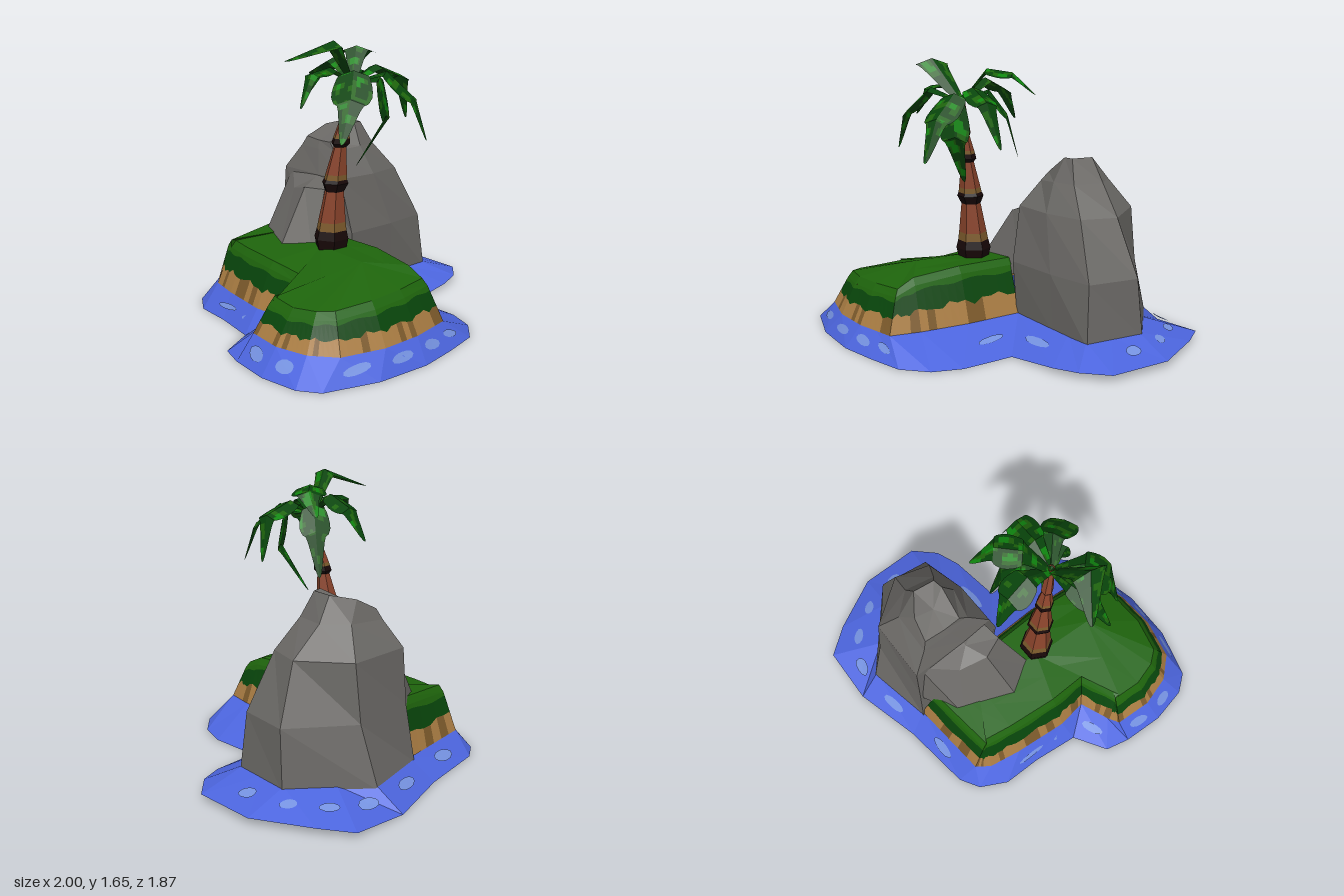
import * as THREE from 'three';

const mat = (name, color) => {
  const m = new THREE.MeshStandardMaterial({ color, flatShading: true, side: THREE.DoubleSide });
  m.name = name;
  return m;
};
const M = {
  water: mat('water blue', 0x4c65de), foam: mat('foam blue', 0x7592e0),
  sand: mat('sand', 0xaa7d43), sandDark: mat('dark sand', 0x7c5a2b),
  grass: mat('grass green', 0x1e640c), grassDark: mat('dark green', 0x08450b),
  leaf: mat('bright leaf', 0x0f870f), rock: mat('rock grey', 0x6a6865),
  bark: mat('bark brown', 0x89432b), barkDark: mat('dark bark', 0x180808),
};
const V = (x, y, z) => new THREE.Vector3(x, y, z);
const mix = (a, b, t) => a.clone().lerp(b, t);

// Collects triangles by colour and turns each colour into one mesh
class Builder {
  constructor() { this.tris = {}; }
  tri(key, ...pts) {
    const [a, b, c] = pts;
    if (b.clone().sub(a).cross(c.clone().sub(a)).length() < 1e-9) return;
    (this.tris[key] ??= []).push(...pts.flatMap(p => p.toArray()));
  }
  quad(key, a, b, c, d) { this.tri(key, a, b, c); this.tri(key, a, c, d); }
  // Closed band between two rings, clockwise seen from above
  band(key, low, high) {
    low.forEach((p, i) => {
      const j = (i + 1) % low.length;
      this.quad(key, p, high[i], high[j], low[j]);
    });
  }
  cap(key, ring) {
    const c = V(0, 0, 0);
    ring.forEach(p => c.addScaledVector(p, 1 / ring.length));
    ring.forEach((p, i) => this.tri(key, p, c, ring[(i + 1) % ring.length]));
  }
  group(name) {
    const g = new THREE.Group();
    g.name = name;
    for (const key in this.tris) {
      const geo = new THREE.BufferGeometry();
      geo.setAttribute('position', new THREE.Float32BufferAttribute(this.tris[key], 3));
      geo.computeVertexNormals();
      const mesh = new THREE.Mesh(geo, M[key]);
      mesh.name = `${name} ${M[key].name}`;
      g.add(mesh);
    }
    return g;
  }
}

// Sloping water skirt: outer x, z, y and inner x, z
function water() {
  const rows = [
    [-.48, -.78, 0, -.5, -.66], [-.05, -.83, 0, 0, -.69], [.37, -.935, 0, .4, -.77],
    [.72, -.92, .03, .55, -.63], [.84, -.75, .04, .66, -.52], [1, -.42, .04, .75, -.43],
    [.99, -.04, .04, .73, -.25], [.86, .09, .04, .71, -.08], [.71, .15, .03, .55, -.08],
    [.39, .2, 0, .09, -.05], [.39, .52, 0, .09, .3], [.33, .69, 0, .06, .6],
    [.2, .82, 0, .02, .78], [-.02, .88, 0, -.1, .805], [-.26, .93, 0, -.24, .84],
    [-.58, .92, 0, -.48, .85], [-.88, .83, 0, -.73, .79], [-.96, .72, 0, -.84, .66],
    [-1, .49, 0, -.89, .47], [-.98, .24, 0, -.87, .24], [-.94, .09, 0, -.8, .2],
    [-.74, -.03, 0, -.62, .13], [-.7, -.31, 0, -.64, -.05], [-.69, -.55, 0, -.6, -.38],
    [-.6, -.71, 0, -.56, -.58],
  ];
  const outer = rows.map(r => V(r[0], r[2], r[1]));
  const inner = rows.map(r => V(r[3], .13, r[4]));
  const b = new Builder(), n = rows.length;
  b.band('water', outer, inner);
  // Foam flecks laid on the slope
  for (let i = 0; i < n; i++) {
    const j = (i + 1) % n, ring = [];
    if (outer[i].distanceTo(outer[j]) < .2) continue;
    const du = Math.min(.3, .075 / outer[i].distanceTo(outer[j]));
    const dv = Math.min(.2, .035 / outer[i].distanceTo(inner[i]));
    for (let k = 0; k < 12; k++) {
      const a = k * Math.PI / 6, r = 1 + .15 * Math.sin(k * 1.05 + i);
      const u = .5 + du * r * Math.cos(a), v = .48 + dv * r * Math.sin(a);
      const p = mix(mix(outer[i], outer[j], u), mix(inner[i], inner[j], u), v);
      ring.push(p.add(V(0, .008, 0)));
    }
    b.cap('foam', ring.reverse());
  }
  return b.group('water');
}

// Island: base x, z, height of the rim, index of the inner ridge point
function island() {
  const rows = [
    [-.5, -.66, .4, 2], [0, -.7, .45, 2], [.04, -.35, .45, 2], [.09, -.06, .45, 1],
    [.09, .3, .45, 1], [.06, .6, .42, 0], [.02, .78, .37, 0], [-.24, .84, .36, 0],
    [-.48, .85, .35, 0], [-.73, .79, .33, 0], [-.84, .66, .32, 0], [-.89, .47, .31, 0],
    [-.87, .24, .32, 0], [-.8, .2, .33, 0], [-.62, .13, .37, 1], [-.64, -.05, .39, 1],
    [-.6, -.38, .39, 2], [-.56, -.58, .39, 2],
  ];
  const ridge = [V(-.28, .45, .44), V(-.25, .45, .05), V(-.15, .45, -.35)];
  const n = rows.length, b = new Builder();
  const ring = (inset, yOf) => rows.map((r, i) => {
    const p = rows[(i + n - 1) % n], q = rows[(i + 1) % n];
    const e = V(q[0] - p[0], 0, q[1] - p[1]).normalize();
    return V(r[0] - e.z * inset, yOf(r[2]), r[1] + e.x * inset);
  });
  const base = ring(0, () => .13), rim = ring(.09, h => h - .04), top = ring(.12, h => h);
  const mid = rows.map((r, i) => mix(top[i], ridge[r[3]], .5));
  b.band('grass', rim, top);
  b.band('grass', top, mid);
  b.band('grass', mid, rows.map(r => ridge[r[3]]));
  // Sandy bank, ragged dark turf and a lighter lip, open beneath the rock
  const steps = 6;
  const wave = k => .45 + .05 * Math.sin(k * 1.3) + .04 * Math.sin(k * 2.9 + 1);
  const lip = k => .88 + .03 * Math.sin(k * 1.1 + 2);
  for (let k = 0; k < n * steps; k++) {
    if (k >= steps && k < 3 * steps) continue;
    const column = m => {
      const w = m % (n * steps), i = Math.floor(w / steps), j = (i + 1) % n, t = (w % steps) / steps;
      const lo = mix(base[i], base[j], t), hi = mix(rim[i], rim[j], t);
      return [lo, mix(lo, hi, wave(w)), mix(lo, hi, lip(w)), hi];
    };
    const p = column(k), q = column(k + 1);
    const tone = Math.sin(k * .9) + Math.sin(k * 2.3) > .55 ? 'sandDark' : 'sand';
    [tone, 'grassDark', 'grass'].forEach((key, m) => b.quad(key, p[m], p[m + 1], q[m + 1], q[m]));
  }
  return b.group('island');
}

// Faceted boulders from stacked rings of x, z (and y)
function boulder(name, rings) {
  const b = new Builder();
  const pts = rings.map(([y, ...r]) => r.map(p => V(p[0], p[2] ?? y, p[1])));
  for (let i = 0; i + 1 < pts.length; i++) b.band('rock', pts[i], pts[i + 1]);
  b.cap('rock', pts.at(-1));
  return b.group(name);
}

// Tapered trunk segments: height, radius, colour above
function trunk() {
  const rows = [
    [.43, .09, 'barkDark'], [.5, .105, 'barkDark'], [.55, .092, 'sandDark'], [.6, .084, 'bark'],
    [.78, .058, 'barkDark'], [.83, .08, 'barkDark'], [.85, .07, 'sandDark'], [.88, .065, 'bark'],
    [1.04, .038, 'barkDark'], [1.06, .055, 'barkDark'], [1.09, .05, 'sandDark'], [1.11, .046, 'bark'],
    [1.2, .028, 'barkDark'], [1.22, .036, 'bark'], [1.43, .02, 'bark'],
  ];
  const rings = rows.map(([y, r]) => {
    const t = Math.max(0, (y - .45) / .95);
    return Array.from({ length: 6 }, (_, k) => {
      const a = k * Math.PI / 3;
      return V(-.2 + .06 * t * t + r * Math.cos(a), y, .085 + .115 * t ** 1.6 + r * Math.sin(a));
    });
  });
  const b = new Builder();
  for (let i = 0; i + 1 < rows.length; i++) b.band(rows[i][2], rings[i], rings[i + 1]);
  return b.group('trunk');
}

// Folded palm leaf along an angular spine, mottled in three greens;
// heading is the x, z direction it leans towards
function frond(points, width, heading) {
  const spine = [V(-.14, 1.41, .2), ...points.map(p => V(...p))];
  const curve = new THREE.CatmullRomCurve3(spine, false, 'catmullrom', 0);
  const b = new Builder(), N = 24, H = 5;
  const [hx, hz] = heading ?? [spine.at(-1).x - spine[0].x, spine.at(-1).z - spine[0].z];
  const side = V(-hz, 0, hx).normalize();
  const at = (i, j) => {
    const t = i / N, s = j / H;
    const w = width * Math.min(.12 + t * 1.8, 1, (1 - t) * 2.2);
    return curve.getPoint(t).addScaledVector(side, s * w).add(V(0, -Math.abs(s) * w * .35, 0));
  };
  for (let i = 0; i < N; i++) for (let j = -H; j < H; j++) {
    const p = at(i + .5, j + .5);
    const v = Math.sin(p.x * 62 + p.y * 25) + Math.sin(p.y * 58 - p.z * 30) + Math.sin(p.z * 65 + p.x * 20);
    const key = v > 1.4 ? 'leaf' : v > .6 ? 'grass' : 'grassDark';
    b.quad(key, at(i, j), at(i, j + 1), at(i + 1, j + 1), at(i + 1, j));
  }
  return b.group('frond');
}

export function createModel() {
  const model = new THREE.Group();
  model.name = 'palm island';
  model.add(water(), island(), trunk());
  model.add(boulder('main rock', [
    [.1, [-.02, -.71], [.4, -.79], [.77, -.44], [.73, -.07], [.43, -.06], [.08, -.05], [0, -.35]],
    [.45, [.02, -.67], [.42, -.68], [.75, -.41], [.7, -.1], [.41, -.05], [.06, -.03], [-.02, -.3]],
    [.78, [.03, -.65], [.42, -.64], [.61, -.37], [.54, -.16], [.3, -.1], [.03, -.1], [.02, -.3]],
    [.95, [.08, -.54, .93], [.33, -.53], [.44, -.4], [.4, -.22], [.26, -.18], [.08, -.22, .93], [.07, -.36, .93]],
    [1.09, [.1, -.51, .99], [.23, -.48, 1.06], [.35, -.39], [.33, -.26], [.27, -.25], [.09, -.27, .98], [.09, -.38, .98]],
  ]));
  model.add(boulder('side rock', [
    [.36, [-.25, -.53], [.03, -.67], [.15, -.3], [.1, -.07], [-.28, .01], [-.38, -.2]],
    [.74, [-.08, -.42, .69], [.06, -.61, .78], [.15, -.3, .86], [.08, -.15, .79], [-.08, -.12, .73], [-.13, -.25, .73]],
  ]));
  const crown = new THREE.Group();
  crown.name = 'crown';
  [
    [[[-.34, 1.65, .28], [-.55, 1.54, .12]], .1],
    [[[-.3, 1.5, .2], [-.45, 1.48, .23], [-.56, 1.3, .27]], .07],
    [[[-.25, 1.49, .34], [-.36, 1.35, .44], [-.44, 1.12, .46]], .11],
    [[[-.04, 1.44, .32], [0, 1.22, .33], [-.11, .93, .2]], .1, [.55, .85]],
    [[[0, 1.47, .33], [.06, 1.34, .48], [.08, 1.1, .57]], .1],
    [[[.02, 1.5, .22], [.2, 1.43, .24], [.28, 1.17, .2]], .09],
    [[[-.02, 1.6, .1], [.1, 1.58, 0], [.16, 1.45, -.12]], .1],
    [[[-.03, 1.48, .08], [.04, 1.34, 0], [.07, 1.08, -.06]], .09],
    [[[-.13, 1.54, .04], [-.14, 1.47, -.1], [-.17, 1.28, -.2]], .1],
  ].forEach(f => crown.add(frond(...f)));
  model.add(crown);
  return model;
}
